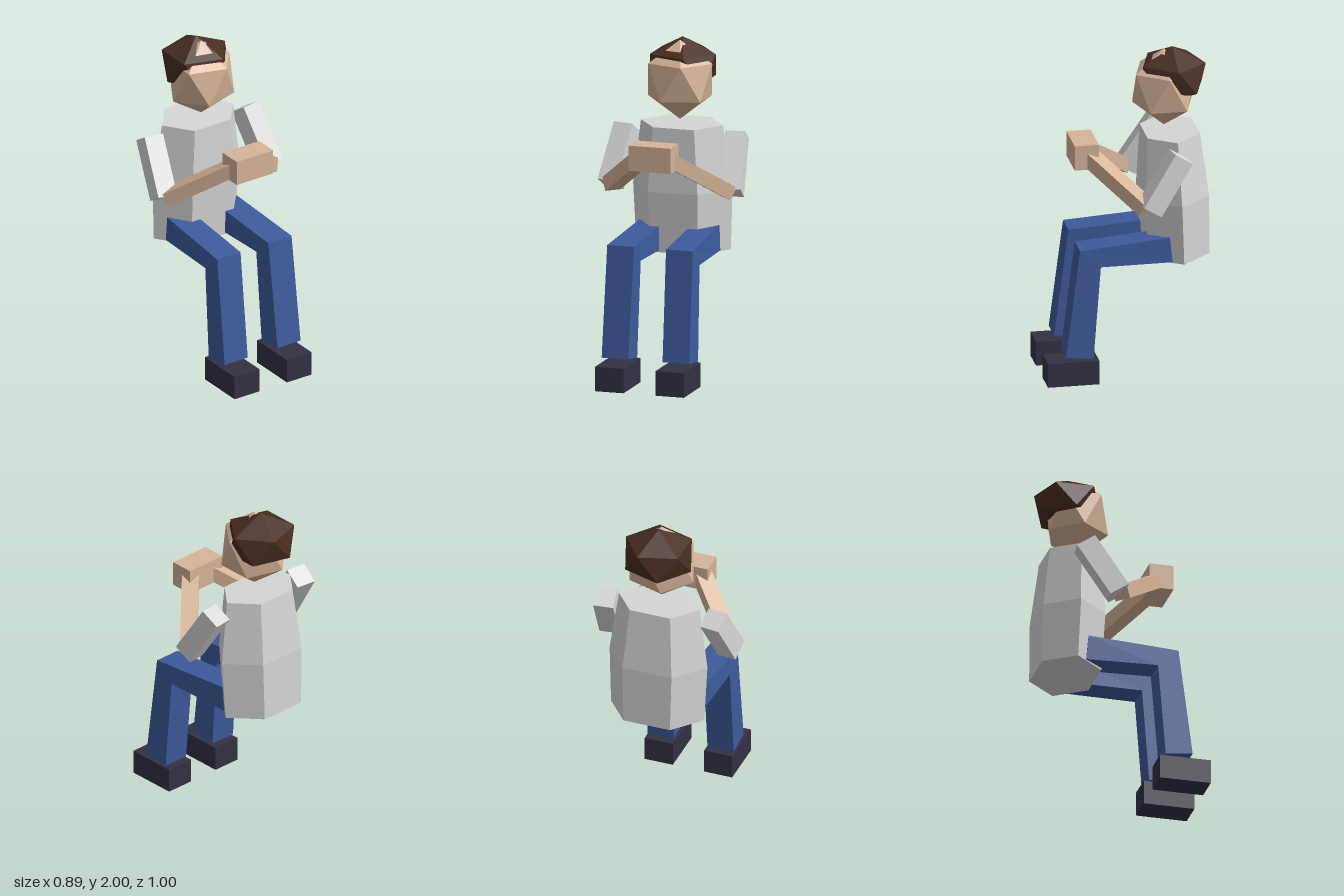
import * as THREE from 'three';
import { ConvexGeometry } from 'three/addons/geometries/ConvexGeometry.js';

const V = (x, y, z) => new THREE.Vector3(x, y, z);

function material(name, color) {
  const m = new THREE.MeshStandardMaterial({ color, flatShading: true });
  m.name = name;
  return m;
}

// Twenty-sided ball standing on one corner
function icoBall(rx, ry, rz) {
  const points = [V(0, ry, 0), V(0, -ry, 0)];
  const ring = 2 / Math.sqrt(5), h = 1 / Math.sqrt(5);
  for (let i = 0; i < 5; i++) {
    const a = (i * 2 * Math.PI) / 5;
    const c = Math.cos(a) * ring, s = Math.sin(a) * ring;
    points.push(V(c * rx, h * ry, s * rz), V(-c * rx, -h * ry, s * rz));
  }
  return new ConvexGeometry(points);
}

// Square bar from a to b, with its width along widthDir
function bar(a, b, width, depth, widthDir) {
  const y = b.clone().sub(a), length = y.length();
  y.normalize();
  const z = widthDir.clone().cross(y).normalize();
  const x = y.clone().cross(z);
  const g = new THREE.BoxGeometry(width, length, depth);
  g.applyMatrix4(new THREE.Matrix4().makeBasis(x, y, z));
  const mid = a.clone().add(b).multiplyScalar(0.5);
  return g.translate(mid.x, mid.y, mid.z);
}

// Bent leg: a box whose ankle, knee and hip rings are placed in turn
function legGeometry(side) {
  const rings = [
    { x: [0.107, 0.273], back: [0.16, 0.225], front: [0.18, 0.39] },
    { x: [0.1, 0.267], back: [0.735, 0.18], front: [0.845, 0.305] },
    { x: [0.088, 0.25], back: [0.73, -0.255], front: [0.885, -0.24] },
  ];
  const g = new THREE.BoxGeometry(1, 1, 1, 1, 2, 1);
  const p = g.attributes.position;
  for (let i = 0; i < p.count; i++) {
    const r = rings[Math.round(p.getY(i) * 2) + 1];
    const [y, z] = p.getZ(i) > 0 ? r.front : r.back;
    const outer = p.getX(i) * side > 0;
    p.setXYZ(i, side * r.x[outer ? 1 : 0], y, z);
  }
  g.computeVertexNormals();
  return g;
}

export function createModel() {
  const model = new THREE.Group();
  model.name = 'seatedFigure';
  const shirt = material('shirtGrey', 0xd6d6d6);
  const skin = material('skin', 0xd6b498);
  const denim = material('trouserBlue', 0x3d5b9c);
  const shoe = material('shoeDark', 0x333143);
  const hair = material('hairBrown', 0x482d22);

  const add = (name, geometry, mat, x = 0, y = 0, z = 0) => {
    const m = new THREE.Mesh(geometry, mat);
    m.name = name;
    m.position.set(x, y, z);
    model.add(m);
    return m;
  };

  // Six-sided torso, leaning slightly forward
  const profile = [[0, -0.378], [0.295, -0.378], [0.31, -0.01], [0.256, 0.378], [0, 0.378]]
    .map(([r, y]) => new THREE.Vector2(r, y));
  const torso = add('torso', new THREE.LatheGeometry(profile, 6, Math.PI / 6), shirt, 0, 1.104, -0.302);
  torso.scale.z = 0.71;
  torso.rotation.x = 0.04;

  // Head and overlapping hair
  add('head', icoBall(0.225, 0.24, 0.21), skin, 0, 1.75, -0.25);
  add('hair', icoBall(0.23, 0.172, 0.222), hair, 0, 1.828, -0.302);

  // Clasped hands
  add('hands', new THREE.BoxGeometry(0.262, 0.153, 0.146), skin, 0, 1.382, 0.238);

  // Paired limbs
  for (const s of [1, -1]) {
    const label = s > 0 ? 'left' : 'right';
    add(label + 'UpperArm', bar(V(s * 0.343, 1.432, -0.288), V(s * 0.378, 1.122, -0.092),
      0.122, 0.128, V(0.12, s * 0.0065, s * -0.02)), shirt);
    add(label + 'Forearm', bar(V(s * 0.37, 1.13, -0.075), V(s * 0.06, 1.387, 0.235),
      0.1, 0.085, V(1, 0, s)), skin);
    add(label + 'Leg', legGeometry(s), denim);
    add(label + 'Shoe', new THREE.BoxGeometry(0.178, 0.148, 0.31), shoe, s * 0.188, 0.074, 0.345);
  }
  return model;
}
